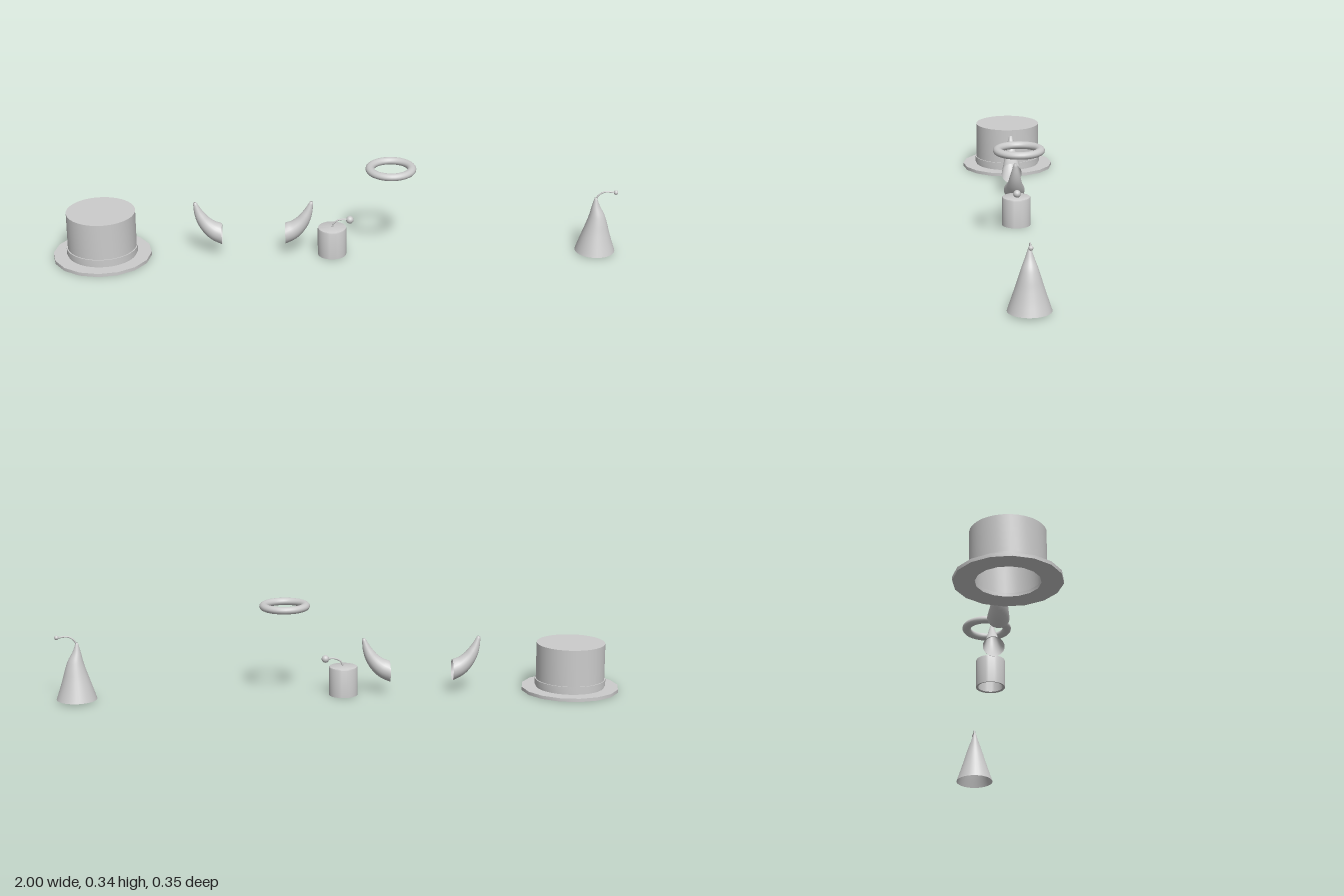
import * as THREE from 'three';
import { toCreasedNormals } from 'three/addons/utils/BufferGeometryUtils.js';

const material = new THREE.MeshStandardMaterial({ color: 0xcccccc, side: THREE.DoubleSide });

function mesh(name, geometry, x = 0, y = 0, z = 0) {
  const m = new THREE.Mesh(geometry, material);
  m.name = name;
  m.position.set(x, y, z);
  return m;
}

function group(name, x, ...parts) {
  const g = new THREE.Group();
  g.name = name;
  g.position.x = x;
  g.add(...parts);
  return g;
}

// Turned solid from [radius, height] pairs, listed up the outside and down the inside
function lathe(profile, sides) {
  const points = profile.map(([r, y]) => new THREE.Vector2(r, y));
  return toCreasedNormals(new THREE.LatheGeometry(points, sides), 0.6);
}

// Smooth open skin through rings [x, y, radius, tilt]; each ring spans z and the tilted axis
function ringSkin(rings, sides = 24, steps = 20) {
  const centers = new THREE.CatmullRomCurve3(rings.map(([x, y]) => new THREE.Vector3(x, y, 0)));
  const sizes = new THREE.CatmullRomCurve3(rings.map(([, , r, tilt]) => new THREE.Vector3(r, tilt, 0)));
  const positions = [], index = [];
  for (let i = 0; i <= steps; i++) {
    const c = centers.getPoint(i / steps), s = sizes.getPoint(i / steps);
    for (let j = 0; j < sides; j++) {
      const a = (j / sides) * Math.PI * 2;
      const u = Math.cos(a) * s.x;
      positions.push(c.x + u * Math.cos(s.y), c.y + u * Math.sin(s.y), -Math.sin(a) * s.x);
      if (i < steps) {
        const k = (j + 1) % sides;
        const p = i * sides + j, q = i * sides + k;
        index.push(p, q, q + sides, p, q + sides, p + sides);
      }
    }
  }
  // Close the tip
  const tip = positions.length / 3, last = steps * sides, end = centers.getPoint(1);
  positions.push(end.x, end.y, 0);
  for (let j = 0; j < sides; j++) index.push(last + j, last + ((j + 1) % sides), tip);
  const g = new THREE.BufferGeometry();
  g.setAttribute('position', new THREE.Float32BufferAttribute(positions, 3));
  g.setIndex(index);
  g.computeVertexNormals();
  return g;
}

// Thin bent cord
function cord(points, radius) {
  const curve = new THREE.CatmullRomCurve3(points.map(([x, y]) => new THREE.Vector3(x, y, 0)));
  return new THREE.TubeGeometry(curve, 16, radius, 8);
}

// Top hat: brim, hollow crown and band
function topHat() {
  const brim = lathe([[0.104, 0], [0.174, 0], [0.174, 0.012], [0.104, 0.012], [0.104, 0]], 16);
  const crown = lathe([[0.104, 0.005], [0.122, 0.005], [0.122, 0.172], [0, 0.172]], 32);
  const lining = lathe([[0, 0.16], [0.104, 0.16], [0.104, 0.005]], 32);
  const band = lathe([[0.12, 0.02], [0.126, 0.02], [0.126, 0.041], [0.12, 0.041]], 32);
  return group('topHat', -0.826, mesh('brim', brim), mesh('crown', crown),
    mesh('lining', lining), mesh('hatBand', band));
}

// Pair of curved horns with open bases facing each other
function horns() {
  const pair = group('horns', -0.288);
  for (const side of [-1, 1]) {
    const horn = mesh(side < 0 ? 'rightHorn' : 'leftHorn', ringSkin([
      [0.112, 0.081, 0.0375, -Math.PI / 2],
      [0.143, 0.096, 0.032, -1.15],
      [0.171, 0.123, 0.025, -0.85],
      [0.192, 0.16, 0.0165, -0.5],
      [0.206, 0.202, 0.006, -0.3],
    ]));
    // The horn is built on +x; a half turn gives its mirror image
    if (side < 0) horn.rotation.y = Math.PI;
    pair.add(horn);
  }
  return pair;
}

// Hollow cylindrical cap with a tassel
function tasselCap() {
  const cap = lathe([[0.043, 0.002], [0.051, 0], [0.051, 0.098], [0.0495, 0.1025],
    [0.046, 0.104], [0, 0.104]], 32);
  const lining = lathe([[0, 0.096], [0.043, 0.096], [0.043, 0.002]], 32);
  const string = cord([[0, 0.1], [0.006, 0.118], [0.025, 0.131], [0.063, 0.132]], 0.003);
  return group('tasselCap', -0.01, mesh('cap', cap), mesh('lining', lining),
    mesh('tasselString', string),
    mesh('tasselBall', new THREE.SphereGeometry(0.0135, 16, 12), 0.063, 0.131));
}

// Floating ring, slightly flattened
function halo() {
  const ring = new THREE.TorusGeometry(0.0735, 0.0155, 16, 40);
  ring.rotateX(Math.PI / 2);
  ring.scale(1, 0.84, 1);
  return mesh('halo', ring, 0.196, 0.326);
}

// Crooked cone hat with a bobble on a bent cord
function bobbleHat() {
  const cone = ringSkin([
    [0, 0.006, 0.071, 0],
    [0, 0.045, 0.058, 0],
    [0.001, 0.085, 0.045, 0],
    [0.002, 0.118, 0.035, 0],
    [0.001, 0.146, 0.026, 0],
    [-0.004, 0.176, 0.0145, 0],
    [-0.006, 0.208, 0.004, 0],
  ], 32, 24);
  const string = cord([[-0.006, 0.2], [0.002, 0.216], [0.022, 0.23], [0.063, 0.228]], 0.003);
  return group('bobbleHat', 0.928, mesh('cone', cone), mesh('bobbleCord', string),
    mesh('bobble', new THREE.SphereGeometry(0.008, 16, 12), 0.064, 0.228));
}

export function createModel() {
  const model = new THREE.Group();
  model.name = 'hatCollection';
  model.add(topHat(), horns(), tasselCap(), halo(), bobbleHat());
  return model;
}
